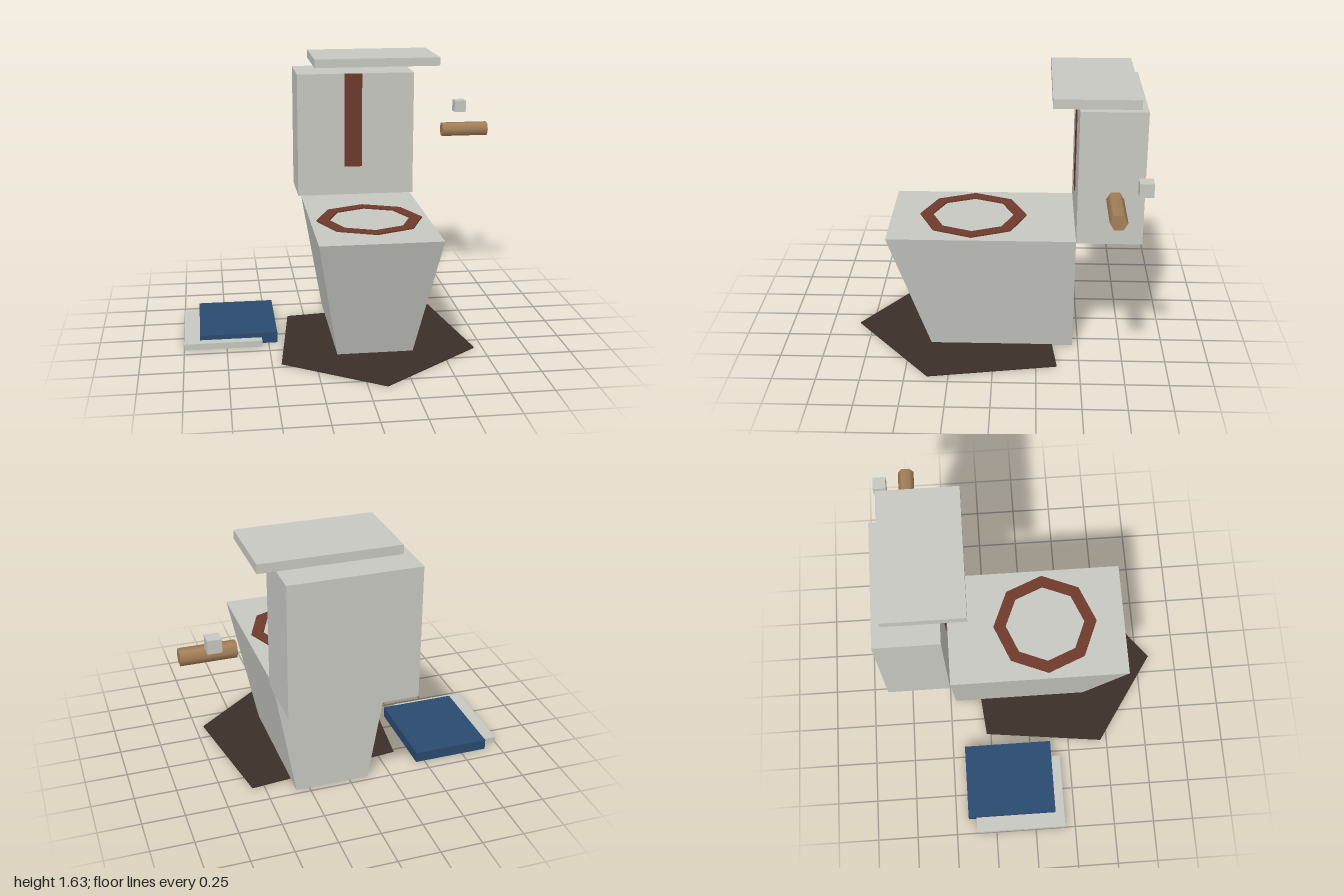
import * as THREE from 'three';

const paint = (name, color) => {
  const m = new THREE.MeshStandardMaterial({ color });
  m.name = name;
  return m;
};

export function createModel() {
  const porcelain = paint('porcelain grey', 0xc8c8c2);
  const rust = paint('rust brown', 0x6e3a2b);
  const navy = paint('navy blue', 0x2a4a70);
  const grime = paint('dark grime', 0x3a3028);
  const cardboard = paint('cardboard tan', 0xa58058);

  const model = new THREE.Group();
  model.name = 'brokenToilet';

  const add = (name, geometry, material) => {
    const mesh = new THREE.Mesh(geometry, material);
    mesh.name = name;
    model.add(mesh);
    return mesh;
  };
  // Box given by its limits on each axis
  const block = (name, material, [x0, x1], [y0, y1], [z0, z1]) =>
    add(name, new THREE.BoxGeometry(x1 - x0, y1 - y0, z1 - z0)
      .translate((x0 + x1) / 2, (y0 + y1) / 2, (z0 + z1) / 2), material);
  // Shape drawn in (x, z), extruded upwards from y
  const slab = (name, material, shape, y, depth) =>
    add(name, new THREE.ExtrudeGeometry(shape, { depth, bevelEnabled: false })
      .rotateX(Math.PI / 2).translate(0, y + depth, 0), material);

  // Cistern, its displaced lid and the stain running down the front
  block('cistern', porcelain, [-0.26, 0.477], [0.745, 1.52], [-0.833, -0.465]);
  block('cisternLid', porcelain, [-0.165, 0.61], [1.58, 1.632], [-0.78, -0.317]);
  block('rustStain', rust, [0.036, 0.148], [0.927, 1.52], [-0.465, -0.46]);

  // Bowl: a box narrowed at the foot, with an upright back
  const bowl = new THREE.BoxGeometry(1, 1, 1);
  const p = bowl.attributes.position;
  for (let i = 0; i < p.count; i++) {
    const top = p.getY(i) > 0;
    p.setXYZ(i,
      0.108 + Math.sign(p.getX(i)) * (top ? 0.35 : 0.222),
      top ? 0.745 : 0,
      p.getZ(i) > 0 ? (top ? 0.61 : 0.372) : -0.465);
  }
  bowl.computeVertexNormals();
  add('bowl', bowl, porcelain);

  // Eight-sided seat ring
  const octagon = (r) => Array.from({ length: 8 }, (_, i) => new THREE.Vector2(
    0.108 + r * Math.cos(i * Math.PI / 4), 0.128 + r * Math.sin(i * Math.PI / 4)));
  const ring = new THREE.Shape(octagon(0.314));
  ring.holes.push(new THREE.Path(octagon(0.24)));
  slab('seatRing', rust, ring, 0.745, 0.008);

  // Irregular puddle on the floor
  const puddle = [[0.108, 0.833], [0.7, 0.37], [0.572, -0.37], [-0.355, -0.277], [-0.446, 0.46]];
  slab('puddle', grime, new THREE.Shape(puddle.map(([x, z]) => new THREE.Vector2(x, z))), 0, 0.006);

  // Six-sided paper tube and the small holder block beside it
  add('paperTube', new THREE.CylinderGeometry(0.047, 0.047, 0.3, 6)
    .rotateZ(Math.PI / 2), cardboard).position.set(0.85, 1.113, -0.651);
  block('holderBlock', porcelain, [0.811, 0.886], [1.204, 1.279], [-0.833, -0.758]);

  // Magazines lying on the floor
  block('paleMagazine', porcelain, [-1, -0.54], [0, 0.037], [-0.373, 0.186]);
  block('blueMagazine', navy, [-0.907, -0.447], [0, 0.065], [-0.422, 0.13]);

  return model;
}
